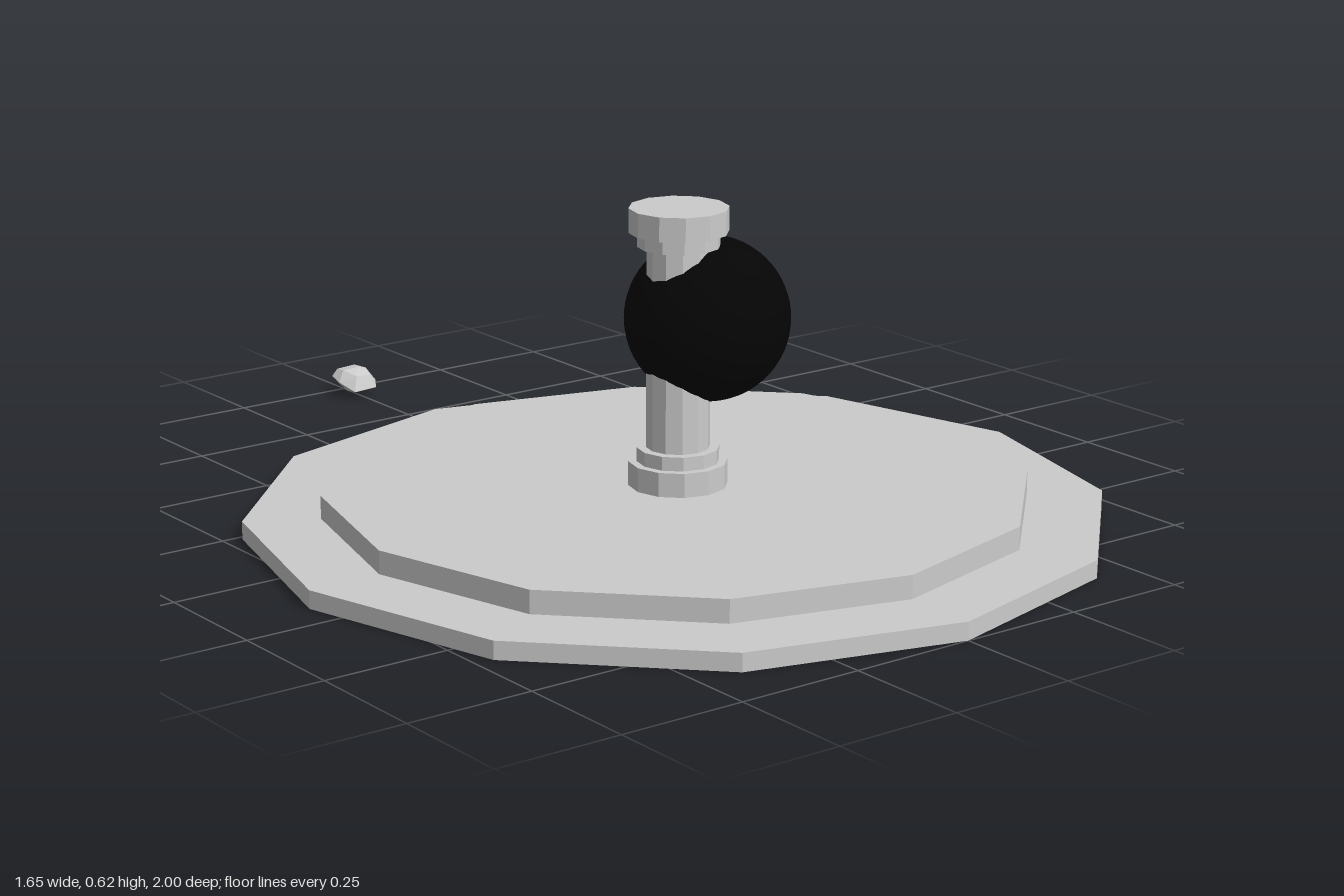
import * as THREE from 'three';
import { ConvexGeometry } from 'three/addons/geometries/ConvexGeometry.js';

const SIDES = 12;
const CENTRE_Z = 0.175;

export function createModel() {
  const model = new THREE.Group();
  const stone = new THREE.MeshStandardMaterial({
    color: 0xcccccc, flatShading: true, side: THREE.DoubleSide,
  });
  const black = new THREE.MeshStandardMaterial({ color: 0x050505 });

  const add = (name, geometry, material, x, y, z) => {
    const mesh = new THREE.Mesh(geometry, material);
    mesh.name = name;
    mesh.position.set(x, y, z);
    model.add(mesh);
  };

  // Twelve-sided shell turned from [radius, height] pairs, listed bottom to top
  const turned = (profile) =>
    new THREE.LatheGeometry(profile.map(([r, y]) => new THREE.Vector2(r, y)), SIDES);

  // Stepped platform: a hollow shell, open underneath
  add('platform', turned([
    [0.825, 0], [0.825, 0.035],
    [0.677, 0.035], [0.677, 0.08],
    [0, 0.08],
  ]), stone, 0, 0, CENTRE_Z);

  // Column: foot, collar, shaft, collar and capital in one profile
  add('column', turned([
    [0.095, 0.08], [0.095, 0.127],
    [0.079, 0.127], [0.079, 0.154],
    [0.061, 0.154], [0.061, 0.544],
    [0.079, 0.544], [0.079, 0.571],
    [0.095, 0.571], [0.095, 0.618],
    [0, 0.618],
  ]), stone, 0, 0, CENTRE_Z);

  // Smooth dark ball set into the side of the shaft
  add('ball', new THREE.SphereGeometry(0.158, 48, 32), black, 0.069, 0.394, CENTRE_Z);

  // Small faceted pebble lying behind the platform, placed around its own middle
  const pebble = [
    // waist
    [-0.034, 0.002, -0.036], [0.029, 0.004, -0.043], [0.042, -0.002, -0.018],
    [0.036, -0.006, 0.025], [0.024, -0.016, 0.044], [-0.029, -0.018, 0.045],
    [-0.045, -0.002, 0.008], [-0.041, 0.004, -0.025],
    // crown
    [-0.024, 0.016, -0.032], [0.018, 0.019, -0.030], [0.026, 0.018, 0.002],
    [0.004, 0.023, 0.004], [-0.028, 0.020, -0.002], [-0.016, 0.012, 0.031], [0.018, 0.011, 0.032],
    // underside
    [-0.018, -0.019, -0.034], [0.020, -0.020, -0.030], [0.026, -0.022, 0.010], [-0.028, -0.022, 0.012],
  ].map((p) => new THREE.Vector3(...p));
  add('pebble', new ConvexGeometry(pebble), stone, 0, 0.035, -0.955);

  return model;
}
